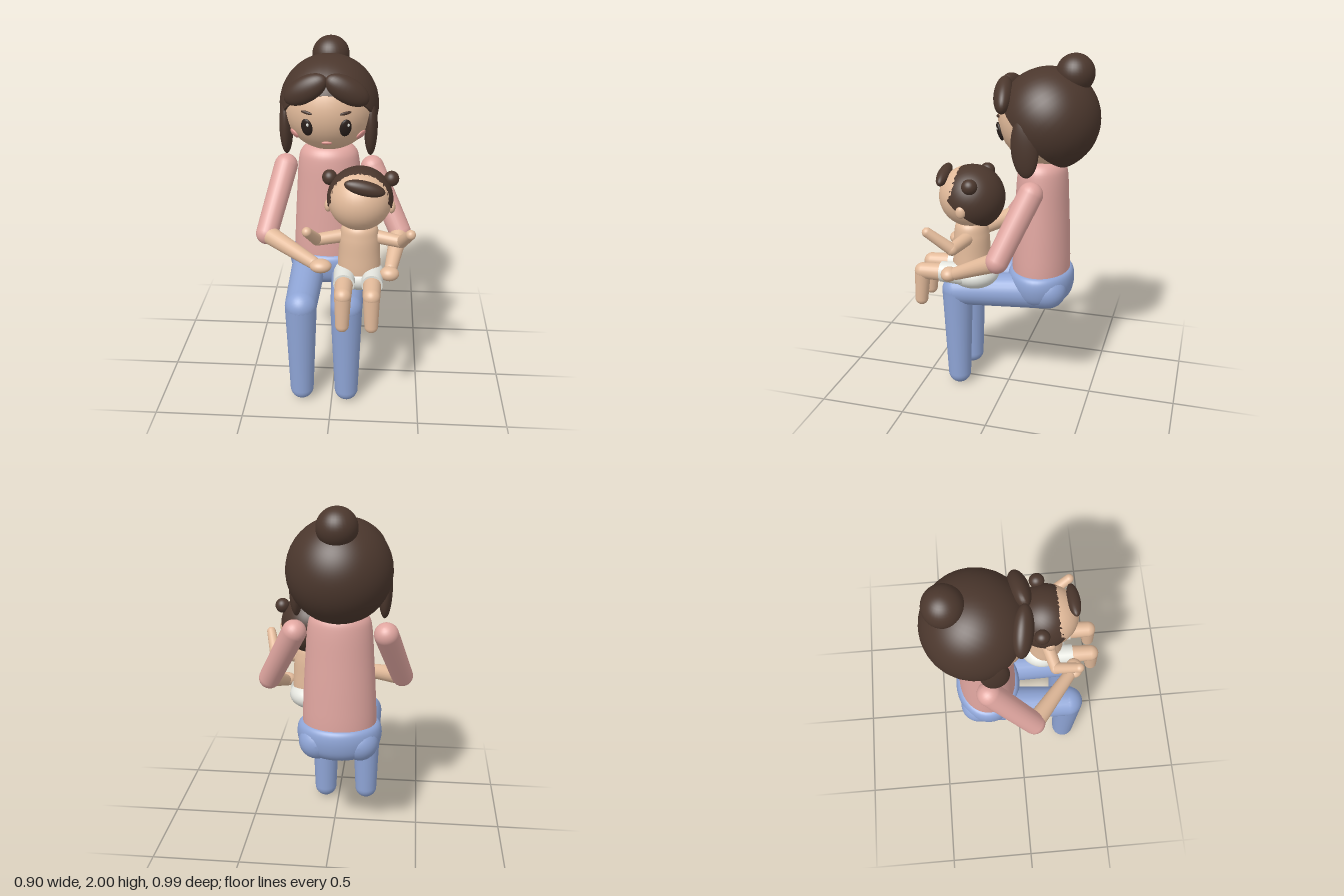
import * as THREE from 'three';

const V = (x, y, z) => new THREE.Vector3(x, y, z);
const UP = V(0, 1, 0);

export function createModel() {
  const mat = (name, color, side = THREE.FrontSide) => {
    const m = new THREE.MeshStandardMaterial({ color, side });
    m.name = name;
    return m;
  };
  const skin = mat('skin', 0xe2ba9a);
  const hair = mat('hair brown', 0x4b372d);
  const pink = mat('pink shirt', 0xe0a6a0);
  const blue = mat('blue trousers', 0x8fa5d6);
  const white = mat('white cloth', 0xe4e5de);
  const dark = mat('eye dark', 0x2b211d);
  const blush = mat('blush', 0xe0968f);

  const group = (name, parent) => {
    const g = new THREE.Group();
    g.name = name;
    if (parent) parent.add(g);
    return g;
  };
  const add = (parent, name, geo, material) => {
    const m = new THREE.Mesh(geo, material);
    m.name = name;
    parent.add(m);
    return m;
  };
  const ball = (parent, name, material, p, r, rot = [0, 0, 0]) => {
    const m = add(parent, name, new THREE.SphereGeometry(1, 32, 22), material);
    m.position.set(...p);
    m.scale.set(...r);
    m.rotation.set(...rot);
    return m;
  };
  // Tapered capsule from a to b
  const limb = (parent, name, material, a, b, ra, rb) => {
    const A = V(...a), B = V(...b), len = A.distanceTo(B), pts = [];
    for (let i = 0; i <= 8; i++) {
      const t = (i / 8 - 1) * Math.PI / 2;
      pts.push(new THREE.Vector2(Math.max(0, ra * Math.cos(t)), ra * Math.sin(t)));
    }
    for (let i = 0; i <= 8; i++) {
      const t = i / 8 * Math.PI / 2;
      pts.push(new THREE.Vector2(Math.max(0, rb * Math.cos(t)), len + rb * Math.sin(t)));
    }
    const m = add(parent, name, new THREE.LatheGeometry(pts, 24), material);
    m.position.copy(A);
    m.quaternion.setFromUnitVectors(UP, B.sub(A).normalize());
    return m;
  };
  // Smooth turned solid with an oval section
  const turned = (parent, name, material, profile, x, z, depth) => {
    const curve = new THREE.SplineCurve(profile.map(p => new THREE.Vector2(...p)));
    const pts = curve.getPoints(48).map(p => new THREE.Vector2(Math.max(0, p.x), p.y));
    const m = add(parent, name, new THREE.LatheGeometry(pts, 40), material);
    m.position.set(x, 0, z);
    m.scale.z = depth;
    return m;
  };
  // Ball of hair cut by a plane that slopes up towards the forehead
  const hairCap = (parent, p, r, theta, tilt) => {
    const g = group('hairCap', parent);
    add(g, 'hairShell', new THREE.SphereGeometry(r, 40, 28, 0, Math.PI * 2, 0, theta), hair);
    const rim = add(g, 'hairUnderside', new THREE.CircleGeometry(r * Math.sin(theta), 40), hair);
    rim.rotation.x = Math.PI / 2;
    rim.position.y = r * Math.cos(theta);
    g.position.set(...p);
    g.rotation.x = -tilt;
  };

  const model = group('motherAndBaby');
  const cx = -0.045;

  // ---- Mother: body
  const mother = group('mother', model);
  turned(mother, 'shirt', pink, [[0, 0.545], [0.08, 0.553], [0.15, 0.59], [0.195, 0.67], [0.206, 0.78],
    [0.2, 0.95], [0.188, 1.15], [0.176, 1.32], [0.155, 1.39], [0.1, 1.425], [0, 1.435]], cx, -0.185, 0.8);
  turned(mother, 'hips', blue, [[0.12, 0.575], [0.18, 0.592], [0.222, 0.635], [0.238, 0.7],
    [0.23, 0.755], [0.2, 0.778], [0.15, 0.77]], cx, -0.185, 0.8);

  for (const s of [-1, 1]) {
    const side = s > 0 ? 'left' : 'right';
    const knee = [cx + s * 0.128, 0.622, 0.29];
    limb(mother, side + 'Thigh', blue, [cx + s * 0.118, 0.675, -0.25], knee, 0.105, 0.09);
    limb(mother, side + 'Shin', blue, knee, [cx + s * 0.13, 0.07, 0.287], 0.09, 0.068);
  }

  // Arms: shoulder, elbow, wrist and hand
  const arms = [
    ['right', [-0.295, 1.285, -0.175], [-0.385, 0.955, 0.06], [-0.1, 0.895, 0.29], [-0.057, 0.895, 0.325], [0.06, 0.037, 0.05]],
    ['left', [0.205, 1.285, -0.175], [0.372, 0.95, -0.035], [0.325, 0.835, 0.21], [0.317, 0.822, 0.255], [0.054, 0.04, 0.046]],
  ];
  for (const [side, shoulder, elbow, wrist, hand, size] of arms) {
    limb(mother, side + 'Sleeve', pink, shoulder, elbow, 0.068, 0.063);
    limb(mother, side + 'Forearm', skin, elbow, wrist, 0.054, 0.036);
    ball(mother, side + 'Hand', skin, hand, size);
  }

  // ---- Mother: head
  const head = group('motherHead', mother);
  const fc = V(cx, 1.65, -0.195), fr = 0.26;
  ball(head, 'face', skin, fc.toArray(), [fr, fr - 0.005, fr]);
  hairCap(head, [cx, 1.645, -0.215], 0.28, 1.94, Math.PI / 4);
  ball(head, 'bun', hair, [cx, 1.895, -0.352], [0.106, 0.105, 0.105]);

  // Face details sit on the head surface and face outwards
  const feature = (name, material, dx, dy, r, lift = 0, roll = 0) => {
    const n = V(dx, dy, Math.sqrt(fr * fr - dx * dx - dy * dy)).normalize();
    const m = ball(head, name, material, fc.clone().addScaledVector(n, fr + lift).toArray(), r);
    m.quaternion.setFromUnitVectors(V(0, 0, 1), n);
    m.rotateZ(roll);
  };
  feature('mouth', blush, 0, -0.165, [0.03, 0.011, 0.008]);
  for (const s of [-1, 1]) {
    const side = s > 0 ? 'left' : 'right';
    feature(side + 'Eye', dark, s * 0.105, -0.068, [0.034, 0.052, 0.016]);
    feature(side + 'EyeShine', white, s * 0.105 + 0.01, -0.047, [0.008, 0.01, 0.004], 0.013);
    feature(side + 'Brow', hair, s * 0.105, 0.016, [0.034, 0.009, 0.008], 0, s * 0.15);
    feature(side + 'Cheek', blush, s * 0.185, -0.137, [0.034, 0.03, 0.012]);
    ball(head, side + 'Fringe', hair, [cx + s * 0.112, 1.783, 0.012], [0.133, 0.07, 0.052],
      [-0.15, s * 0.25, -s * 0.5]);
    ball(head, side + 'Lock', hair, [cx + s * 0.238, 1.535, -0.138], [0.038, 0.165, 0.075], [0.06, 0, 0]);
  }

  // ---- Baby
  const baby = group('baby', model);
  const bx = 0.147;
  turned(baby, 'babyBody', skin, [[0, 0.72], [0.09, 0.735], [0.118, 0.8], [0.115, 0.92],
    [0.108, 1.02], [0.085, 1.085], [0, 1.11]], bx, 0.175, 0.9);
  ball(baby, 'nappy', white, [bx, 0.775, 0.16], [0.14, 0.085, 0.138]);
  const babyHead = group('babyHead', baby);
  ball(babyHead, 'babyFace', skin, [bx, 1.233, 0.176], [0.174, 0.17, 0.176]);
  hairCap(babyHead, [bx, 1.227, 0.165], 0.18, 1.86, 0.7);
  ball(babyHead, 'babyFringe', hair, [0.175, 1.35, 0.318], [0.11, 0.04, 0.036], [-0.4, 0.14, -0.2]);

  for (const s of [-1, 1]) {
    const side = s > 0 ? 'Left' : 'Right';
    ball(babyHead, 'baby' + side + 'Ear', skin, [bx + s * 0.172, 1.19, 0.18], [0.02, 0.035, 0.028]);
    ball(babyHead, 'baby' + side + 'Bun', hair, [bx + s * 0.167, 1.335, 0.13], [0.041, 0.042, 0.043]);

    const elbow = [bx + s * 0.232, 0.998, 0.212];
    limb(baby, 'baby' + side + 'UpperArm', skin, [bx + s * 0.09, 1.01, 0.175], elbow, 0.038, 0.034);
    limb(baby, 'baby' + side + 'Forearm', skin, elbow, [bx + s * 0.275, 1.1, 0.335], 0.033, 0.027);

    const lx = bx + s * 0.077, knee = [lx, 0.782, 0.447];
    limb(baby, 'baby' + side + 'Thigh', skin, [lx, 0.79, 0.22], knee, 0.053, 0.047);
    limb(baby, 'baby' + side + 'Shin', skin, knee, [lx + s * 0.002, 0.608, 0.46], 0.046, 0.037);
    const cuff = add(baby, 'nappy' + side + 'Cuff', new THREE.CylinderGeometry(0.058, 0.064, 0.14, 28), white);
    cuff.position.set(lx, 0.79, 0.265);
    cuff.rotation.x = Math.PI / 2;
  }

  return model;
}
